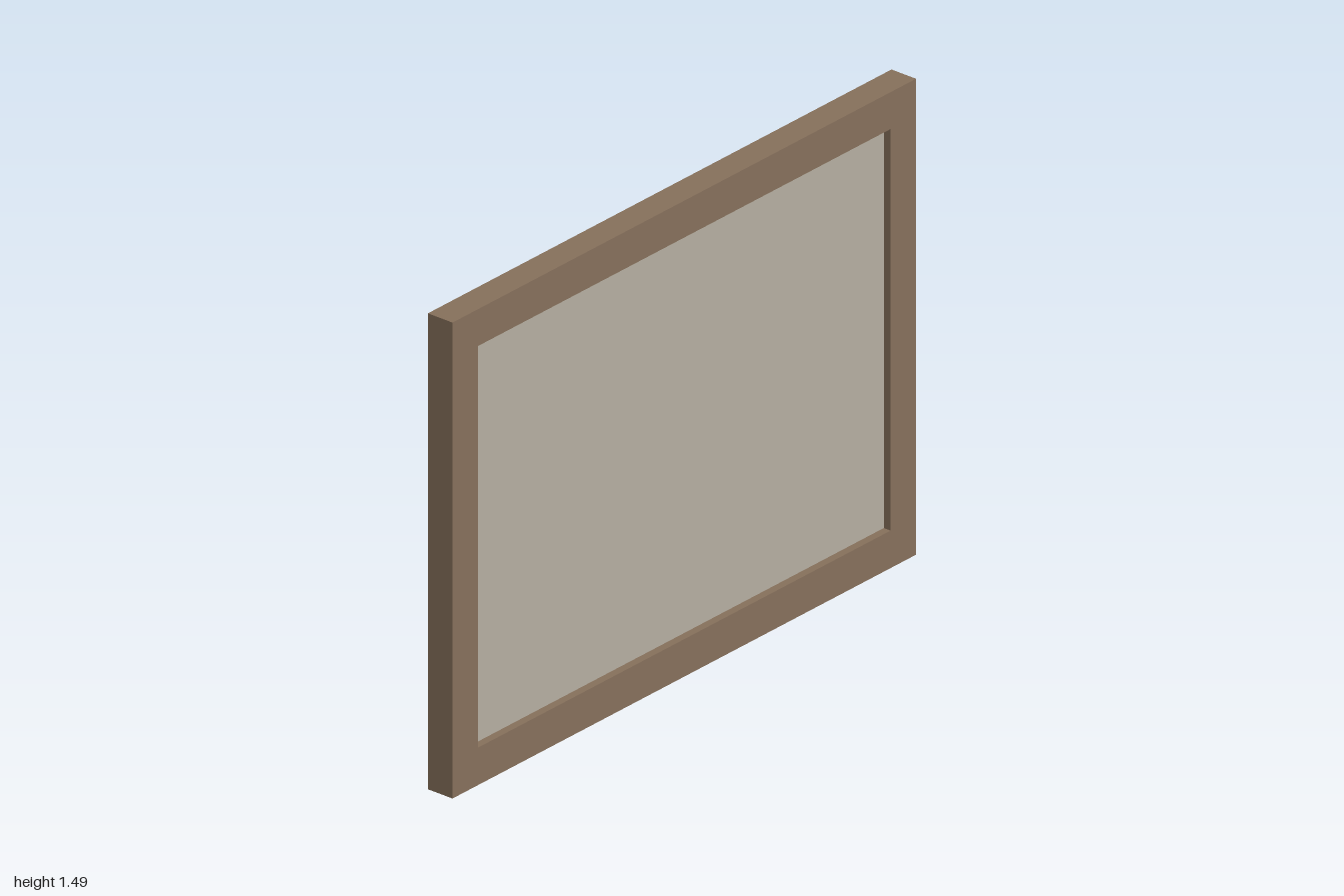
import * as THREE from 'three';

const paint = (color) => new THREE.MeshStandardMaterial({ color, flatShading: true });
const WOOD = paint(0x87715c), BOARD = paint(0xb7b0a3), CARD = paint(0xada496);
const STONE = paint(0x787864), BRASS = paint(0xb6a175), GREY = paint(0xcccccc);

function add(parent, name, geometry, material, x = 0, y = 0, z = 0) {
  const mesh = new THREE.Mesh(geometry, material);
  mesh.name = name;
  mesh.position.set(x, y, z);
  parent.add(mesh);
  return mesh;
}

// slab cut from a flat outline, between two z planes
function slab(parent, name, shape, z0, z1, material) {
  const geometry = new THREE.ExtrudeGeometry(shape, { depth: z1 - z0, bevelEnabled: false, curveSegments: 8 });
  return add(parent, name, geometry, material, 0, 0, z0);
}

function outline(points) {
  return new THREE.Shape(points.map(([x, y]) => new THREE.Vector2(x, y)));
}

const rect = (w, y0, y1) => outline([[-w, y0], [w, y0], [w, y1], [-w, y1]]);

function seeded(seed) {
  let s = seed;
  return () => (s = (s * 16807) % 2147483647) / 2147483647;
}

// lumpy flattened head with thin spikes fanning out
function createBloom(seed) {
  const random = seeded(seed * 7919 + 13);
  const bloom = new THREE.Group();
  bloom.name = 'bloom';

  const head = new THREE.IcosahedronGeometry(1, 2);
  const p = head.attributes.position;
  for (let i = 0; i < p.count; i++) {
    const x = p.getX(i), y = p.getY(i), z = p.getZ(i);
    const k = 1 + 0.16 * Math.sin(5 * x + seed) * Math.cos(6 * y - seed) + 0.08 * Math.sin(9 * (x + y));
    p.setXYZ(i, x * k * 0.047, y * k * 0.062, z * 0.011);
  }
  head.computeVertexNormals();
  add(bloom, 'bloomHead', head, GREY);

  const count = 15;
  for (let i = 0; i < count; i++) {
    const angle = (i + 0.6 * random()) / count * Math.PI * 2;
    const length = 0.07 + 0.035 * random();
    const spike = new THREE.CylinderGeometry(0.002, 0.0045, length, 5);
    spike.translate(0, length / 2, 0);
    const upward = Math.cos(angle) > 0.5;
    const mesh = add(bloom, 'spike', spike, upward && i % 2 ? WOOD : GREY, 0, 0, -0.002);
    mesh.rotation.set(0.12 * (random() - 0.6), 0, angle, 'ZXY');
  }

  // short stem below the head
  const stem = add(bloom, 'stem', new THREE.CylinderGeometry(0.006, 0.006, 0.07, 6), GREY, 0.012, -0.075, -0.002);
  stem.rotation.z = 0.3 * (random() - 0.5);
  return bloom;
}

export function createModel() {
  const model = new THREE.Group();
  model.name = 'framedRelief';

  // frame with a rectangular opening
  const border = rect(1, 0, 1.485);
  border.holes.push(rect(0.89, 0.117, 1.37));
  slab(model, 'frame', border, -0.045, 0.045, WOOD);

  // backing board and raised picture card
  slab(model, 'backingBoard', rect(0.89, 0.117, 1.37), 0.007, 0.02, BOARD);
  slab(model, 'pictureCard', rect(0.777, 0.322, 1.229), -0.002, 0.007, CARD);

  // bridge deck rising to a central peak
  const deck = outline([[-0.777, 0.845], [0.777, 0.845], [0.777, 1.067], [0, 1.198], [-0.777, 1.067]]);
  slab(model, 'bridgeDeck', deck, -0.008, -0.002, STONE);

  // tapering piers with rounded heads, each carrying a bloom
  const pierX = [0.637, 0.302, -0.012, -0.303, -0.602];
  const bloomY = [0.904, 0.945, 0.892, 0.945, 0.95];
  pierX.forEach((x, i) => {
    const pier = new THREE.Shape();
    pier.moveTo(-0.069, 0.356);
    pier.lineTo(0.069, 0.356);
    pier.lineTo(0.092, 0.83);
    pier.quadraticCurveTo(0.085, 0.9, 0, 0.91);
    pier.quadraticCurveTo(-0.085, 0.9, -0.092, 0.83);
    slab(model, 'pier', pier, -0.012, -0.002, STONE).position.x = x;

    const bloom = createBloom(i + 1);
    bloom.position.set(x, bloomY[i], -0.018);
    model.add(bloom);
  });

  // blank plaque under the picture
  add(model, 'plaque', new THREE.BoxGeometry(0.39, 0.083, 0.01), BRASS, 0, 0.169, 0.002);

  return model;
}
